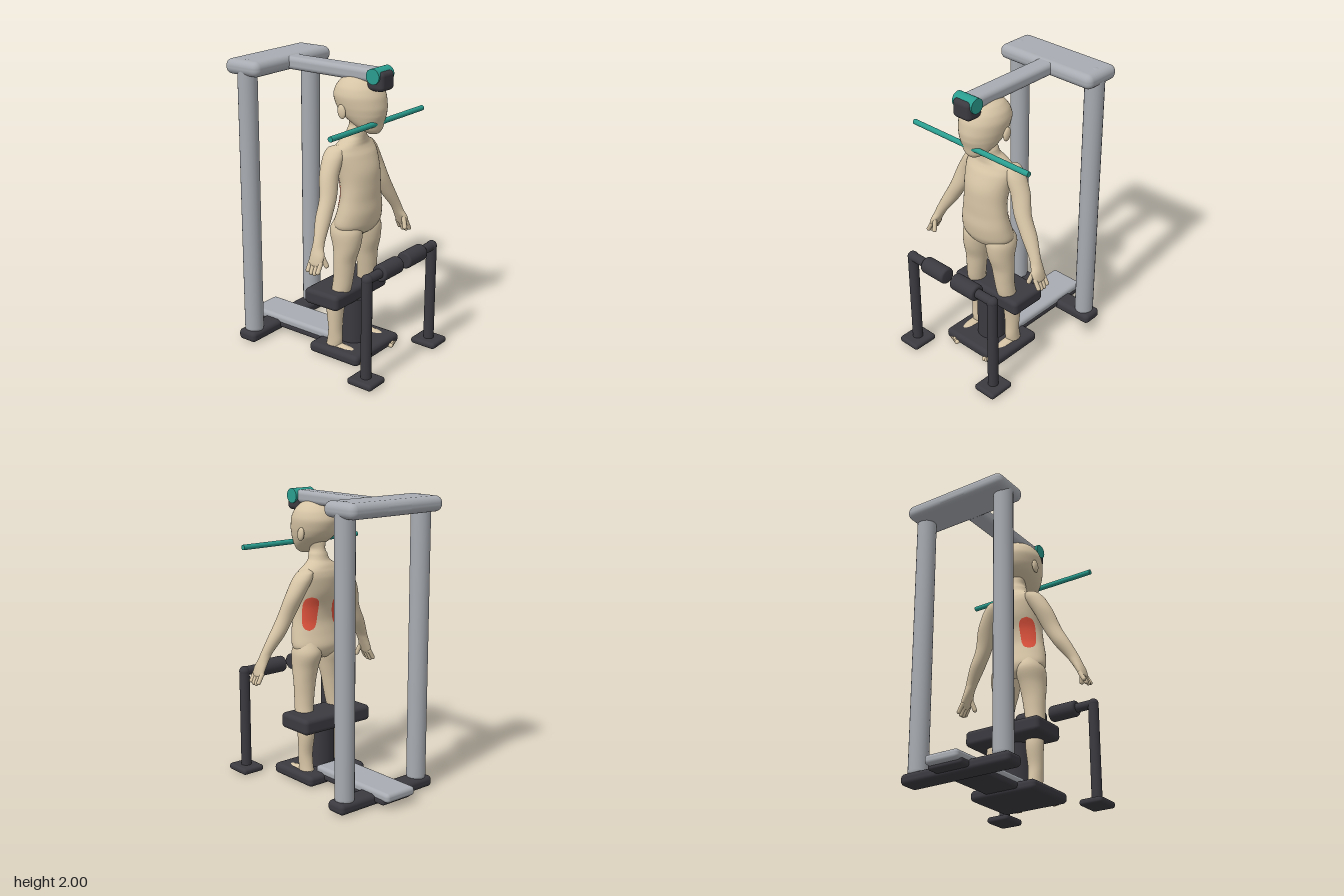
import * as THREE from 'three';
import { mergeVertices } from 'three/addons/utils/BufferGeometryUtils.js';
import { RoundedBoxGeometry } from 'three/addons/geometries/RoundedBoxGeometry.js';

const material = (name, color) => {
  const m = new THREE.MeshStandardMaterial({ color });
  m.name = name;
  return m;
};
const V = (x, y, z) => new THREE.Vector3(x, y, z);

// Smooth body surface through horizontal ellipses [y, x, z, rx, rz], listed upwards
function surface(rows) {
  const centre = new THREE.CatmullRomCurve3(rows.map(r => V(r[1], r[0], r[2])));
  const radii = new THREE.CatmullRomCurve3(rows.map(r => V(r[3], 0, r[4])));
  return (t, a, grow = 0) => {
    const c = centre.getPoint(t), r = radii.getPoint(t);
    return V(c.x + Math.cos(a) * (r.x + grow), c.y, c.z + Math.sin(a) * (r.z + grow));
  };
}

// Grid of faces from a point rule; u runs upwards, v runs around
function grid(point, nu, nv) {
  const pos = [], index = [];
  for (let i = 0; i <= nu; i++)
    for (let j = 0; j <= nv; j++) {
      pos.push(...point(i / nu, j / nv).toArray());
      if (i < nu && j < nv) {
        const a = i * (nv + 1) + j, b = a + nv + 1;
        index.push(a, b, a + 1, b, b + 1, a + 1);
      }
    }
  const g = new THREE.BufferGeometry();
  g.setAttribute('position', new THREE.Float32BufferAttribute(pos, 3));
  g.setIndex(index);
  const merged = mergeVertices(g, 1e-5);
  merged.computeVertexNormals();
  return merged;
}

export function createModel() {
  const model = new THREE.Group();
  model.name = 'figureInExerciseMachine';
  const skin = material('skin', 0xd6c4a5);
  const steel = material('lightSteel', 0xa8acb2);
  const dark = material('darkPadding', 0x3b3a40);
  const teal = material('tealGrip', 0x2a9d8f);
  const red = material('highlightedMuscle', 0xe0533d);

  const add = (name, geometry, mat) => {
    const mesh = new THREE.Mesh(geometry, mat);
    mesh.name = name;
    model.add(mesh);
    return mesh;
  };
  // Rounded box given by its limits
  const box = (name, mat, x0, x1, y0, y1, z0, z1, r = 0.03) => add(name,
    new RoundedBoxGeometry(x1 - x0, y1 - y0, z1 - z0, 4, r), mat)
    .position.set((x0 + x1) / 2, (y0 + y1) / 2, (z0 + z1) / 2);
  // Straight rod between two points, with flat or round ends
  const rod = (name, mat, a, b, r, round = false) => {
    const len = a.distanceTo(b);
    const g = round ? new THREE.CapsuleGeometry(r, len, 6, 20) : new THREE.CylinderGeometry(r, r, len, 28);
    const m = add(name, g, mat);
    m.position.copy(a).add(b).multiplyScalar(0.5);
    m.quaternion.setFromUnitVectors(V(0, 1, 0), b.clone().sub(a).normalize());
  };
  const ball = (name, mat, x, y, z, sx, sy, sz) => {
    const m = add(name, new THREE.SphereGeometry(1, 24, 16), mat);
    m.position.set(x, y, z);
    m.scale.set(sx, sy, sz);
    return m;
  };
  const body = (name, rows) => {
    const s = surface(rows);
    add(name, grid((u, v) => s(u, v * Math.PI * 2), rows.length * 5, 40), skin);
    return s;
  };

  // Frame
  box('topBeam', steel, -0.39, 0.39, 1.895, 1.996, -0.6, -0.315, 0.045);
  box('overheadArm', steel, -0.066, 0.066, 1.903, 1.99, -0.4, 0.36, 0.03);
  box('topBeamBack', steel, -0.125, 0.125, 1.905, 1.985, -0.6, -0.45);
  box('floorRunner', steel, -0.125, 0.125, 0.055, 0.118, -0.65, 0.08, 0.025);
  box('floorRail', dark, -0.127, 0.127, 0.03, 0.075, -0.61, 0.05, 0.018);
  box('rearFoot', dark, -0.41, 0.41, 0.008, 0.085, -0.53, -0.382);

  // Seat and foot platform
  box('footPlatform', dark, -0.25, 0.25, 0.005, 0.08, -0.02, 0.39, 0.03);
  box('seat', dark, -0.29, 0.29, 0.385, 0.495, -0.027, 0.252, 0.03);
  rod('seatPost', dark, V(0, 0.05, 0.18), V(0, 0.4, 0.18), 0.1);

  // Pulley head and pull bar
  rod('pulley', teal, V(-0.083, 1.95, 0.37), V(0.083, 1.95, 0.37), 0.05);
  box('pulleyBlock', dark, -0.072, 0.072, 1.853, 1.98, 0.312, 0.437, 0.03);
  rod('pullBar', teal, V(-0.497, 1.64, 0.363), V(0.497, 1.64, 0.363), 0.018);

  // Head and torso
  body('head', [
    [1.563, 0, 0.33, 0.002, 0.002], [1.568, 0, 0.328, 0.035, 0.03], [1.595, 0, 0.31, 0.08, 0.067],
    [1.64, 0, 0.278, 0.115, 0.108], [1.69, 0, 0.247, 0.138, 0.154], [1.74, 0, 0.23, 0.151, 0.174],
    [1.8, 0, 0.216, 0.158, 0.178], [1.86, 0, 0.211, 0.143, 0.156], [1.905, 0, 0.209, 0.105, 0.116],
    [1.928, 0, 0.208, 0.058, 0.065], [1.936, 0, 0.208, 0.002, 0.002],
  ]);
  const torso = body('torso', [
    [0.86, 0, 0.19, 0.11, 0.06], [0.9, 0, 0.195, 0.17, 0.108], [0.96, 0, 0.205, 0.2, 0.128],
    [1.04, 0, 0.222, 0.19, 0.122], [1.13, 0, 0.23, 0.173, 0.109], [1.22, 0, 0.226, 0.165, 0.112],
    [1.32, 0, 0.205, 0.172, 0.125], [1.42, 0, 0.18, 0.185, 0.112], [1.47, 0, 0.17, 0.172, 0.092],
    [1.505, 0, 0.175, 0.115, 0.08], [1.535, 0, 0.187, 0.075, 0.069], [1.58, 0, 0.195, 0.062, 0.065],
    [1.66, 0, 0.21, 0.062, 0.065],
  ]);

  for (const s of [1, -1]) {
    // Upright, capped where it meets the beam
    rod('upright', steel, V(s * 0.322, 0.1, -0.455), V(s * 0.322, 1.933, -0.455), 0.066, true);

    // Knee roller stand
    box('standBase', dark, s * 0.37 - 0.086, s * 0.37 + 0.086, 0.005, 0.05, 0.46, 0.653, 0.02);
    rod('standPost', dark, V(s * 0.37, 0.03, 0.556), V(s * 0.37, 0.735, 0.556), 0.036);
    ball('standElbow', dark, s * 0.37, 0.735, 0.556, 0.037, 0.037, 0.037);
    rod('standBar', dark, V(s * 0.37, 0.735, 0.556), V(s * 0.2, 0.735, 0.556), 0.032);
    // Roller with softened rims
    const half = 0.104, r = 0.057;
    const roller = add('kneeRoller', new THREE.LatheGeometry([
      [0, -half], [r - 0.014, -half], [r - 0.004, -half + 0.005], [r, -half + 0.015],
      [r, half - 0.015], [r - 0.004, half - 0.005], [r - 0.014, half], [0, half],
    ].map(p => new THREE.Vector2(...p)), 32), dark);
    roller.rotation.z = Math.PI / 2;
    roller.position.set(s * 0.137, 0.733, 0.556);

    // Back muscle patch lying on the torso surface
    const mid = -Math.PI / 2 + s * 0.74;
    add('backMuscle', grid((u, v) => {
      const w = 0.42 * (0.75 + 0.25 * u) * Math.sqrt(Math.max(0, 1 - Math.abs(2 * u - 1) ** 4));
      return torso((3.25 + 2.5 * u) / 12, mid + (2 * v - 1) * w, 0.004);
    }, 24, 16), red);

    ball('ear', skin, s * 0.153, 1.715, 0.185, 0.017, 0.047, 0.03).rotation.x = -0.2;

    // Leg and foot
    body('leg', [
      [0.04, s * 0.16, 0.13, 0.03, 0.04], [0.07, s * 0.16, 0.132, 0.047, 0.057], [0.12, s * 0.16, 0.14, 0.047, 0.055],
      [0.2, s * 0.16, 0.143, 0.05, 0.048], [0.36, s * 0.155, 0.142, 0.06, 0.063], [0.5, s * 0.14, 0.18, 0.064, 0.066],
      [0.6, s * 0.13, 0.19, 0.071, 0.068], [0.7, s * 0.122, 0.194, 0.08, 0.073], [0.8, s * 0.112, 0.2, 0.09, 0.095],
      [0.9, s * 0.105, 0.19, 0.098, 0.115], [0.99, s * 0.1, 0.19, 0.07, 0.08],
    ]);
    ball('foot', skin, s * 0.163, 0.05, 0.235, 0.046, 0.04, 0.17).rotation.x = 0.12;
    for (let i = 0; i < 5; i++)
      ball('toe', skin, s * (0.134 + i * 0.017), 0.026, 0.398 - i * 0.006, i ? 0.011 : 0.015, 0.015, 0.02);

    // Arm, palm, fingers and thumb
    body('arm', [
      [0.775, s * 0.495, 0.235, 0.004, 0.02], [0.8, s * 0.487, 0.235, 0.02, 0.05], [0.85, s * 0.468, 0.235, 0.03, 0.052],
      [0.9, s * 0.445, 0.225, 0.036, 0.04], [0.94, s * 0.425, 0.22, 0.041, 0.037], [1.06, s * 0.353, 0.196, 0.058, 0.05],
      [1.18, s * 0.287, 0.182, 0.062, 0.053], [1.31, s * 0.238, 0.152, 0.067, 0.062], [1.41, s * 0.185, 0.142, 0.068, 0.07],
      [1.465, s * 0.155, 0.14, 0.05, 0.06], [1.488, s * 0.14, 0.14, 0.005, 0.01],
    ]);
    for (let i = 0; i < 4; i++) {
      const z = 0.195 + i * 0.027;
      rod('finger', skin, V(s * 0.482, 0.81, z), V(s * 0.512, i % 3 ? 0.745 : 0.757, z), 0.0145, true);
    }
    rod('thumb', skin, V(s * 0.458, 0.86, 0.262), V(s * 0.44, 0.785, 0.288), 0.016, true);
  }
  return model;
}
